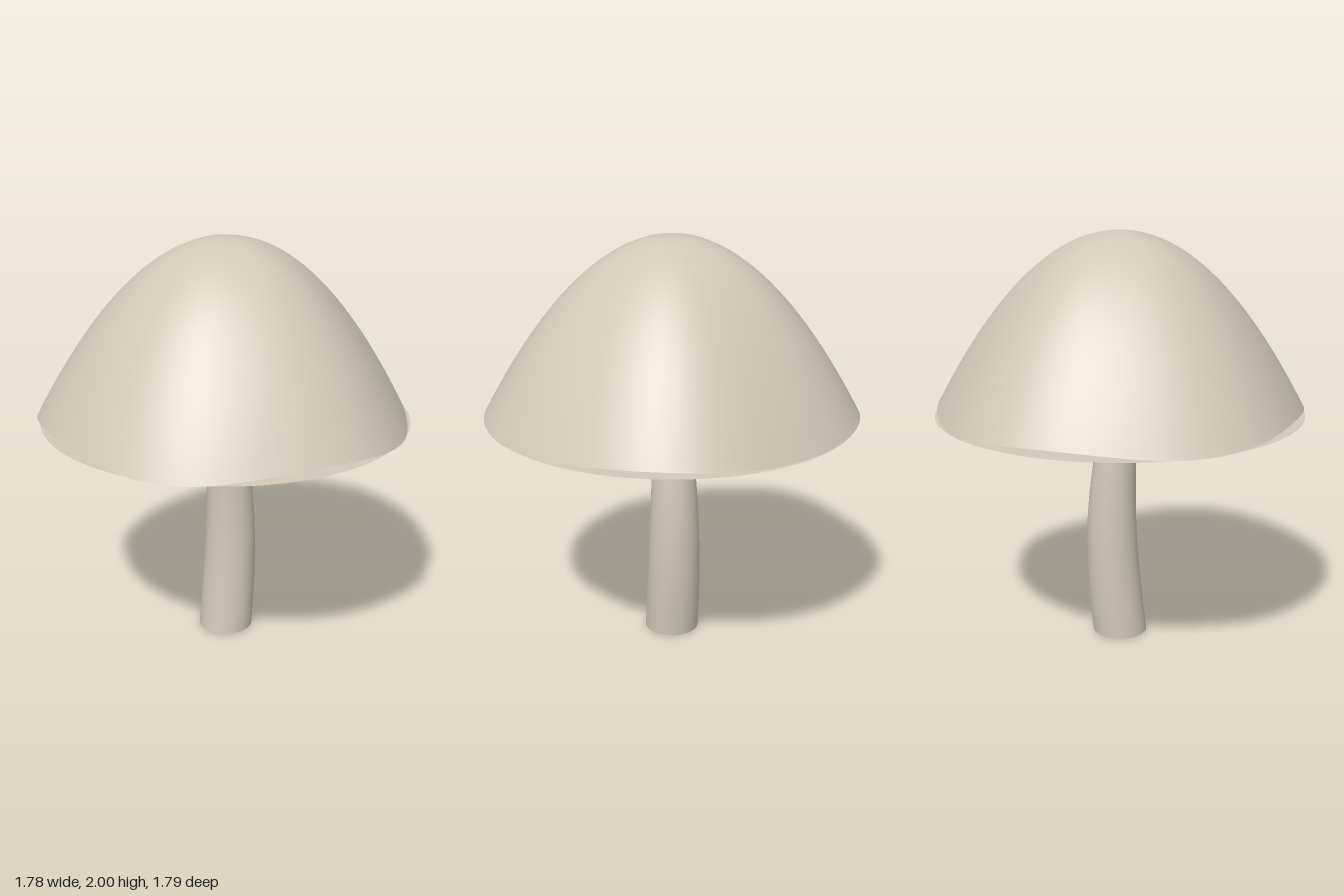
import * as THREE from 'three';
import { mergeVertices } from 'three/addons/utils/BufferGeometryUtils.js';

const CX = -0.005, CZ = -0.012;          // shared axis of cap and stem
const RIM_R = 0.885, RIM_Y = 1.154, TOP_Y = 2, STEM_H = 1.052;

// Move every vertex by a rule, weld the seam and smooth the normals
function shaped(geometry, rule) {
  const p = geometry.attributes.position, v = new THREE.Vector3();
  for (let i = 0; i < p.count; i++) {
    rule(v.fromBufferAttribute(p, i));
    p.setXYZ(i, v.x, v.y, v.z);
  }
  geometry.deleteAttribute('uv');
  geometry.deleteAttribute('normal');
  const welded = mergeVertices(geometry, 1e-5);
  welded.computeVertexNormals();
  return welded;
}

export function createModel() {
  const group = new THREE.Group();
  const beige = new THREE.MeshStandardMaterial({ color: 0xd2c8b8, side: THREE.DoubleSide });
  beige.name = 'pale beige';

  const add = (name, geometry) => {
    const mesh = new THREE.Mesh(geometry, beige);
    mesh.name = name;
    mesh.position.set(CX, 0, CZ);
    group.add(mesh);
  };

  // Cap: a parabolic dome with five soft lobes and a rim that waves up and down
  const profile = [];
  for (let i = 0; i <= 32; i++) {
    const t = 1 - i / 32;
    profile.push(new THREE.Vector2(RIM_R * t, TOP_Y - (TOP_Y - RIM_Y) * t * t));
  }
  add('cap', shaped(new THREE.LatheGeometry(profile, 96), (v) => {
    const a = Math.atan2(v.z, v.x), t = Math.hypot(v.x, v.z) / RIM_R;
    const lobe = 1 + 0.0192 * Math.sin(5 * a);
    v.x *= lobe;
    v.z *= lobe;
    v.y += 0.02 * t * t * Math.sin(4 * a);
  }));

  // Underside: a flat round disc closing the cap
  add('capUnderside', new THREE.CircleGeometry(RIM_R, 96).rotateX(Math.PI / 2).translate(0, 1.137, 0));

  // Stem: an open tube that bows sideways and narrows upward
  const tube = new THREE.CylinderGeometry(1, 1, STEM_H, 40, 20, true).translate(0, STEM_H / 2, 0);
  add('stem', shaped(tube, (v) => {
    const t = v.y / STEM_H, r = 0.133 - 0.041 * t * t;
    v.x = v.x * r + 0.035 * Math.sin(Math.PI * t) + 0.01 * t;
    v.z *= r;
  }));

  return group;
}
